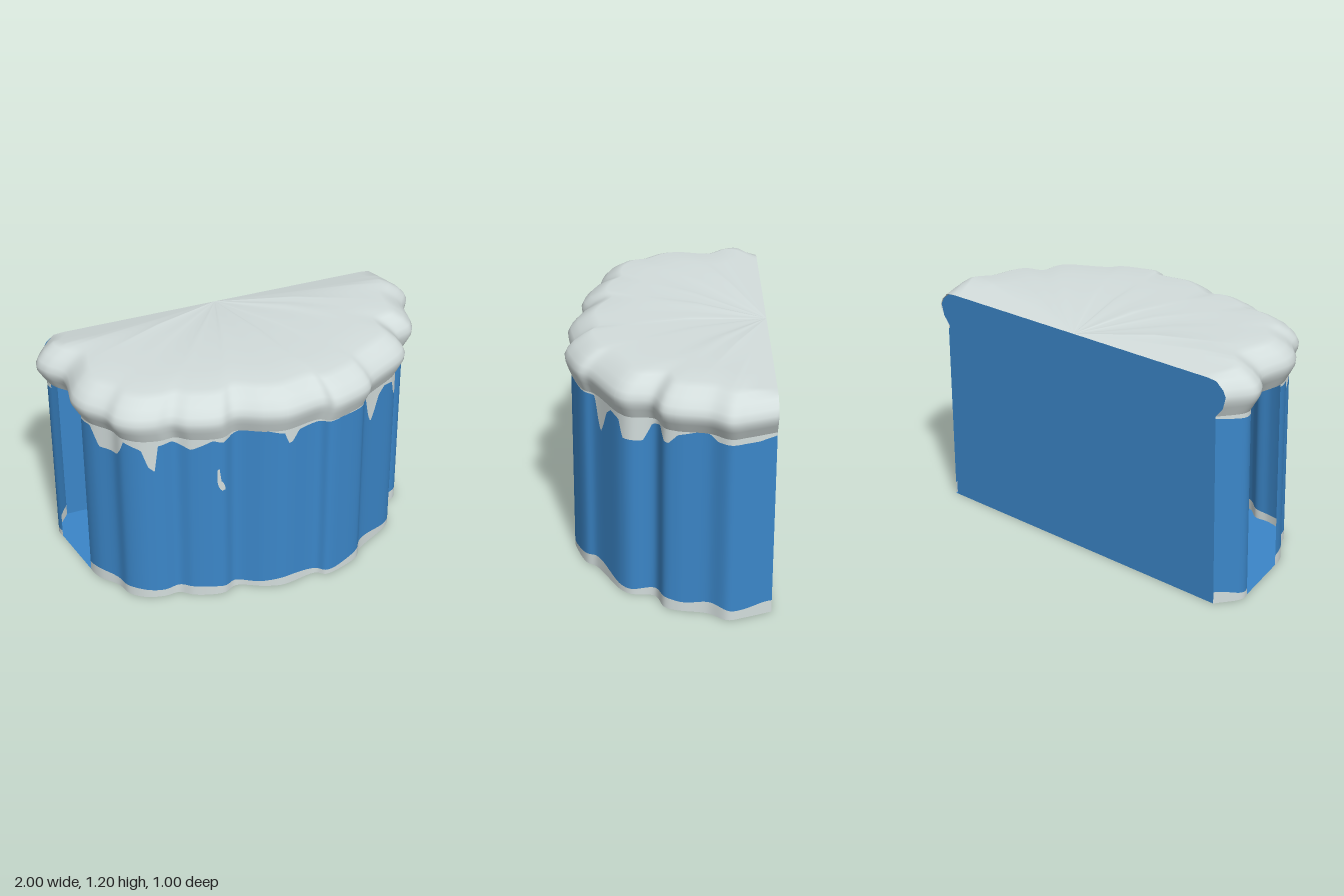
import * as THREE from 'three';

const ice = new THREE.MeshStandardMaterial({ color: 0x3b86c8, side: THREE.DoubleSide });
ice.name = 'iceBlue';
const snow = new THREE.MeshStandardMaterial({ color: 0xd3dddc, side: THREE.DoubleSide });
snow.name = 'snowWhite';

const BACK = -0.5;
const EAVE = 0.98; // where the snow cap meets the wall

// Widest outline of the cap as x, z: right back corner, round the front, left back corner
const outline = [
  [-0.92, -0.5], [-1, -0.37], [-0.98, -0.3], [-0.91, -0.2], [-0.925, 0], [-0.9, 0.08],
  [-0.82, 0.18], [-0.79, 0.26], [-0.72, 0.32], [-0.62, 0.35], [-0.54, 0.35], [-0.47, 0.4],
  [-0.32, 0.44], [-0.24, 0.41], [-0.1, 0.47], [0, 0.495], [0.2, 0.47], [0.25, 0.5],
  [0.36, 0.475], [0.46, 0.43], [0.5, 0.38], [0.72, 0.25], [0.76, 0.2], [0.78, 0.08],
  [0.88, 0.03], [0.91, -0.03], [0.94, -0.18], [1, -0.28], [0.98, -0.36], [0.93, -0.5],
];
const rim = new THREE.CatmullRomCurve3(
  outline.map(([x, z]) => new THREE.Vector3(x, 0, z)), false, 'centripetal').getSpacedPoints(320);

// Lower edge of the hanging snow: distance along the wall, height
const drips = [
  [-1, 0.95], [-0.86, 0.97], [-0.83, 0.86], [-0.77, 0.86], [-0.75, 0.96], [-0.68, 0.93],
  [-0.65, 0.83], [-0.62, 0.8], [-0.6, 0.95], [-0.53, 0.96], [-0.45, 0.92], [-0.35, 0.97],
  [-0.3, 0.95], [-0.15, 1], [0, 0.96], [0.02, 0.9], [0.04, 0.9], [0.08, 0.96], [0.3, 0.98],
  [0.48, 0.97], [0.505, 0.85], [0.525, 0.8], [0.55, 0.85], [0.58, 0.93], [0.62, 0.965],
  [0.68, 0.95], [0.7, 0.86], [0.81, 0.86], [0.86, 0.95], [0.95, 0.97], [1.01, 0.91],
  [1.05, 0.91], [1.11, 0.96], [1.26, 0.99], [1.34, 0.95], [1.53, 0.95], [1.6, 0.97],
];

function lookup(table, t) {
  const k = table.findIndex(([a]) => a >= t);
  if (k <= 0) return table[k < 0 ? table.length - 1 : 0][1];
  const [a, ya] = table[k - 1], [b, yb] = table[k];
  return ya + (yb - ya) * (t - a) / (b - a);
}

// Move a rim point towards the middle of the back edge
function inset(p, d, y, zFactor = 1) {
  const dx = -p.x, dz = BACK - p.z, len = Math.hypot(dx, dz) || 1;
  const f = Math.min(d / len, 1);
  return new THREE.Vector3(p.x + dx * f, y, p.z + dz * f * zFactor);
}
const wallPoint = (p, y) => inset(p, 0.05 - 0.01 * (1 - y / EAVE), y, 0.6);

// Smooth surface through rows of points
function loft(rows) {
  const n = rows[0].length, index = [];
  for (let j = 0; j < rows.length - 1; j++) {
    for (let i = 0; i < n - 1; i++) {
      const a = j * n + i, b = a + 1, c = b + n, d = a + n;
      index.push(a, b, c, a, c, d);
    }
  }
  const g = new THREE.BufferGeometry().setFromPoints(rows.flat());
  g.setIndex(index);
  g.computeVertexNormals();
  return g;
}

function add(group, name, geometry, material) {
  const mesh = new THREE.Mesh(geometry, material);
  mesh.name = name;
  group.add(mesh);
  return mesh;
}

function addWall(group, name, points) {
  const dripY = points.map((p) => {
    const w = wallPoint(p, EAVE);
    return Math.min(EAVE, lookup(drips, w.x + (w.x > 0.5 ? Math.max(0, 0.2 - w.z) : 0)));
  });
  const baseY = points.map((p) => 0.047 + 0.012 * Math.sin(p.x * 14 + 1) + 0.008 * Math.sin(p.z * 23));
  const between = (low, high, steps) => Array.from({ length: steps + 1 }, (_, j) =>
    points.map((p, i) => wallPoint(p, low(i) + (high(i) - low(i)) * j / steps)));
  add(group, name + 'BaseSnow', loft(between(() => 0, (i) => baseY[i], 1)), snow);
  add(group, name + 'Ice', loft(between((i) => baseY[i], (i) => dripY[i], 4)), ice);
  add(group, name + 'Drips', loft(between((i) => dripY[i], () => EAVE, 1)), snow);
}

export function createModel() {
  const model = new THREE.Group();
  model.name = 'snowyIceLedge';

  // Rounded snow cap, sloping down a little at the back
  const profile = [[0.05, EAVE], [0.02, 1.03], [0.003, 1.06], [0, 1.09], [0.015, 1.12],
    [0.05, 1.155], [0.1, 1.185], [0.14, 1.2], [0.3, 1.2], [0.6, 1.2], [2, 1.2]];
  add(model, 'snowCap', loft(profile.map(([d, y]) => rim.map((p) => {
    const q = inset(p, d, y, d <= 0.05 && y < 1.05 ? 0.6 : 1);
    q.y = Math.min(y, 1.16 + (q.z - BACK) * 0.24);
    return q;
  }))), snow);

  // Fluted wall, with an opening on one side near the back
  const start = rim.findIndex((p) => p.z > -0.01);
  const stop = rim.findIndex((p) => p.z > -0.33);
  addWall(model, 'frontWall', rim.slice(start));
  addWall(model, 'sideReturn', rim.slice(0, stop + 1));

  // Flat back, reaching up into the cap
  const half = [[0.88, 0], [0.87, EAVE], [0.91, 1.03], [0.925, 1.09], [0.91, 1.12], [0.87, 1.155], [0.82, 1.16]];
  const backShape = new THREE.Shape([
    ...half.map(([x, y]) => new THREE.Vector2(x, y)),
    ...half.map(([x, y]) => new THREE.Vector2(-x, y)).reverse(),
  ]);
  const back = add(model, 'backPanel', new THREE.ShapeGeometry(backShape), ice);
  back.rotation.y = Math.PI;
  back.position.z = BACK;

  // Floor
  const edge = [...rim.slice(0, stop + 1), ...rim.slice(start)].map((p) => wallPoint(p, 0));
  add(model, 'floor', loft([edge.map(() => new THREE.Vector3(0, 0, BACK)), edge]), ice);

  // Small loose streak of snow on the front
  const streak = new THREE.Shape();
  streak.moveTo(-0.335, 0.8);
  streak.quadraticCurveTo(-0.345, 0.7, -0.31, 0.67);
  streak.lineTo(-0.295, 0.675);
  streak.quadraticCurveTo(-0.295, 0.71, -0.315, 0.73);
  streak.lineTo(-0.325, 0.81);
  add(model, 'snowStreak', new THREE.ShapeGeometry(streak), snow).position.z = 0.424;

  return model;
}
